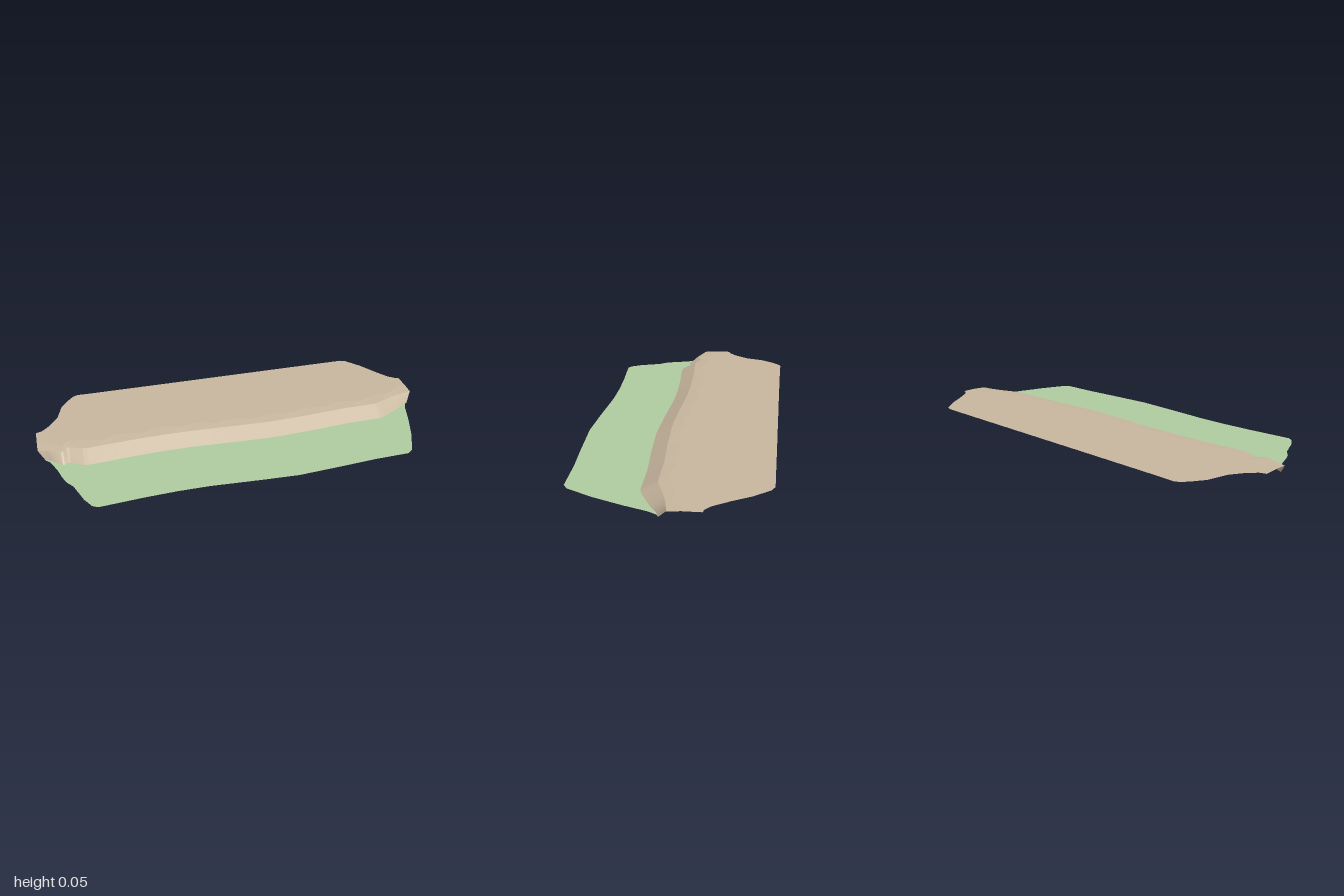
import * as THREE from 'three';

// Cross-sections along x: [x, plateau back z, lip z, slope foot z, lawn front z]
const SECTIONS = [
  [-1, -0.15, 0, 0.025, 0.028], [-0.97, -0.16, 0.01, 0.035, 0.05],
  [-0.93, -0.2, 0.025, 0.06, 0.12], [-0.885, -0.27, 0.042, 0.09, 0.235],
  [-0.857, -0.37, 0.008, 0.075, 0.275], [-0.82, -0.425, 0.022, 0.1, 0.385],
  [-0.79, -0.462, 0.036, 0.116, 0.44], [-0.765, -0.475, 0.04, 0.12, 0.456],
  [-0.7, -0.473, 0.037, 0.117, 0.452], [-0.55, -0.472, 0.028, 0.107, 0.442],
  [-0.4, -0.471, 0.024, 0.102, 0.437], [-0.25, -0.47, 0.026, 0.104, 0.439],
  [0, -0.469, 0.042, 0.122, 0.458], [0.18, -0.468, 0.05, 0.13, 0.469],
  [0.4, -0.467, 0.042, 0.12, 0.457], [0.58, -0.466, 0.03, 0.107, 0.445],
  [0.76, -0.465, 0.03, 0.106, 0.442], [0.79, -0.45, 0.02, 0.097, 0.418],
  [0.85, -0.375, -0.003, 0.066, 0.29], [0.9, -0.29, -0.02, 0.038, 0.155],
  [0.95, -0.215, -0.032, 0.012, 0.045], [0.98, -0.19, -0.037, 0, 0.005],
  [1, -0.185, -0.04, -0.006, -0.003],
];
const STEPS = 5;

// Finer stations between the sections
function makeStations() {
  const out = [];
  for (let i = 0; i < SECTIONS.length - 1; i++) {
    for (let s = 0; s < STEPS; s++) {
      out.push(SECTIONS[i].map((v, k) => THREE.MathUtils.lerp(v, SECTIONS[i + 1][k], s / STEPS)));
    }
  }
  out.push(SECTIONS[SECTIONS.length - 1]);
  return out;
}

// Ground-level points draw in a little at both ends
const groundX = (x) => Math.sign(x) * (Math.abs(x) - 0.3 * Math.max(0, Math.abs(x) - 0.9));

// Edge lines running the length of the bank
const lines = {
  back: ([x, b]) => [x, 0.05, b],
  crest: ([x, b, l]) => {
    const scallop = 0.035 + 0.03 * Math.abs(Math.sin((x + 0.1) * Math.PI / 0.195));
    return [x, 0.049, Math.max(l - scallop, b + 0.02)];
  },
  lip: ([x, , l]) => [x, 0.044, l],
  foot: ([x, , , f]) => [groundX(x), 0, f],
  front: ([x, , , , g]) => [groundX(x), 0, g],
};

// Ribbon between two edge lines, ordered so that it faces up
function ribbon(stations, from, to) {
  const positions = [], index = [];
  stations.forEach((s, i) => {
    positions.push(...from(s), ...to(s));
    if (i) {
      const a = 2 * i - 2;
      index.push(a, a + 1, a + 2, a + 2, a + 1, a + 3);
    }
  });
  const geometry = new THREE.BufferGeometry();
  geometry.setAttribute('position', new THREE.Float32BufferAttribute(positions, 3));
  geometry.setIndex(index);
  geometry.computeVertexNormals();
  return geometry;
}

export function createModel() {
  const group = new THREE.Group();
  group.name = 'terrainBank';
  const earth = new THREE.MeshStandardMaterial({ color: 0xc8b79f, side: THREE.DoubleSide });
  earth.name = 'earth';
  const grass = new THREE.MeshStandardMaterial({ color: 0xafcca0, side: THREE.DoubleSide });
  grass.name = 'grass';

  const stations = makeStations();
  const add = (name, from, to, material) => {
    const mesh = new THREE.Mesh(ribbon(stations, from, to), material);
    mesh.name = name;
    group.add(mesh);
  };
  add('plateau', lines.back, lines.crest, earth);
  add('scallopedLip', lines.crest, lines.lip, earth);
  add('slope', lines.lip, lines.foot, earth);
  add('lawn', lines.foot, lines.front, grass);
  return group;
}
